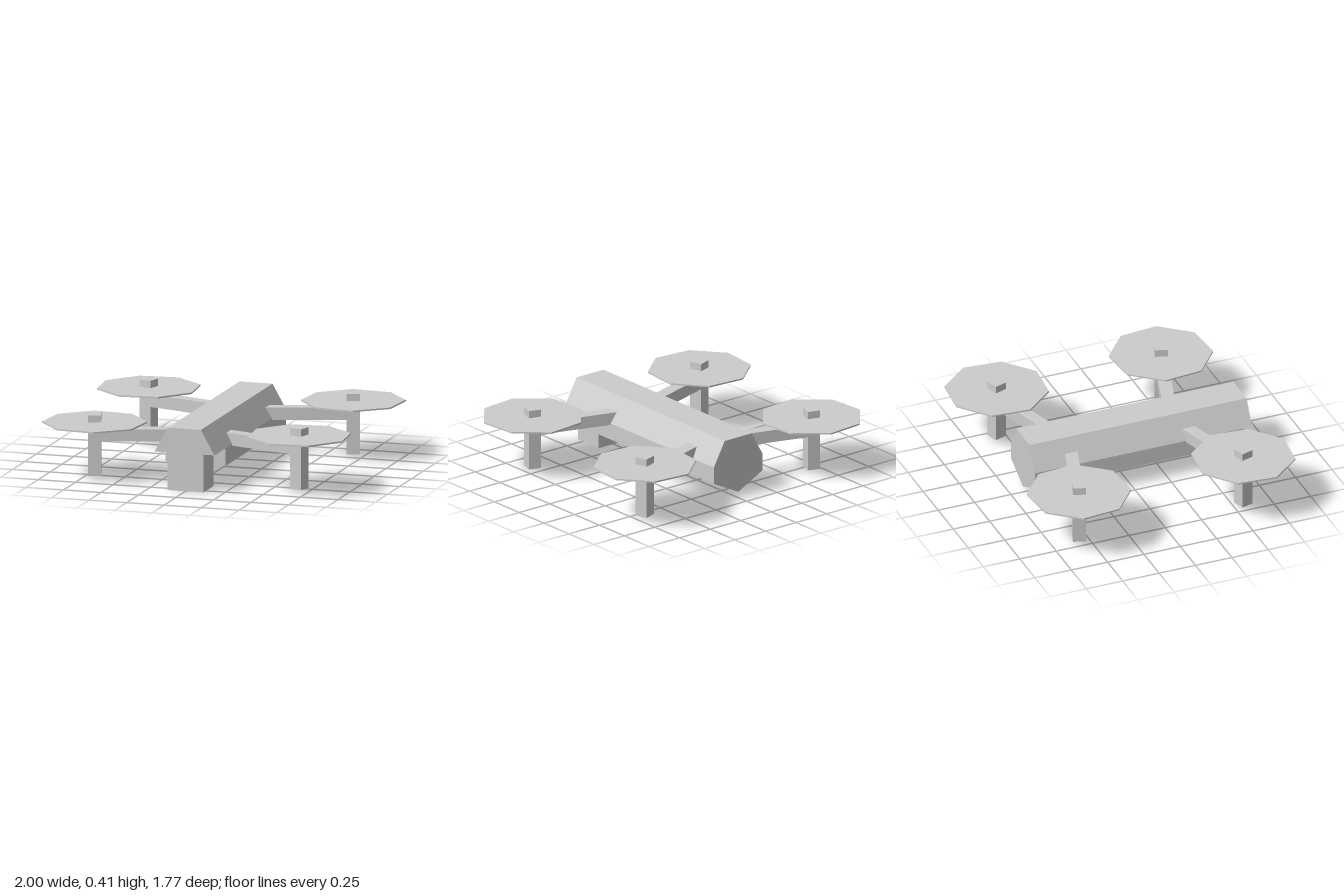
import * as THREE from 'three';

const grey = new THREE.MeshStandardMaterial({ color: 0xcccccc, flatShading: true });
grey.name = 'light grey';

function add(parent, name, geometry, x = 0, y = 0, z = 0) {
  const mesh = new THREE.Mesh(geometry, grey);
  mesh.name = name;
  mesh.position.set(x, y, z);
  parent.add(mesh);
  return mesh;
}

// Prism along z with an x-y cross-section
function prism(points, z0, z1) {
  const shape = new THREE.Shape(points.map(([x, y]) => new THREE.Vector2(x, y)));
  const geometry = new THREE.ExtrudeGeometry(shape, { depth: z1 - z0, bevelEnabled: false });
  return geometry.translate(0, 0, z0);
}

export function createModel() {
  const model = new THREE.Group();
  model.name = 'quadcopter';

  // Fuselage: sloped top cover overhanging a V-bottomed belly
  add(model, 'topCover', prism([[-0.2, 0.25], [0.2, 0.25], [0.11, 0.41], [-0.11, 0.41]], -0.667, 0.825));
  add(model, 'belly', prism([[-0.2, 0.25], [-0.2, 0.14], [0, 0.04], [0.2, 0.14], [0.2, 0.25]], -0.667, 0.59));
  add(model, 'cameraBox', new THREE.BoxGeometry(0.24, 0.25, 0.21), 0, 0.125, 0.695);

  // Four splayed arms, each with a post and an eight-sided rotor disc
  const splay = 0.302, reach = 0.62;
  for (const sx of [-1, 1]) {
    for (const sz of [-1, 1]) {
      const arm = new THREE.Group();
      arm.name = (sz > 0 ? 'front' : 'back') + (sx > 0 ? 'Left' : 'Right') + 'Arm';
      arm.position.set(sx * 0.682, 0, sz * 0.565);
      arm.rotation.y = -sx * sz * splay;
      model.add(arm);

      add(arm, 'strut', new THREE.BoxGeometry(reach, 0.08, 0.084), -sx * reach / 2, 0.28, 0);
      add(arm, 'post', new THREE.BoxGeometry(0.084, 0.395, 0.084), 0, 0.2125, 0);
      const disc = new THREE.CylinderGeometry(0.333, 0.333, 0.01, 8);
      add(arm, 'rotorDisc', disc, 0, 0.357, 0);
    }
  }
  return model;
}
